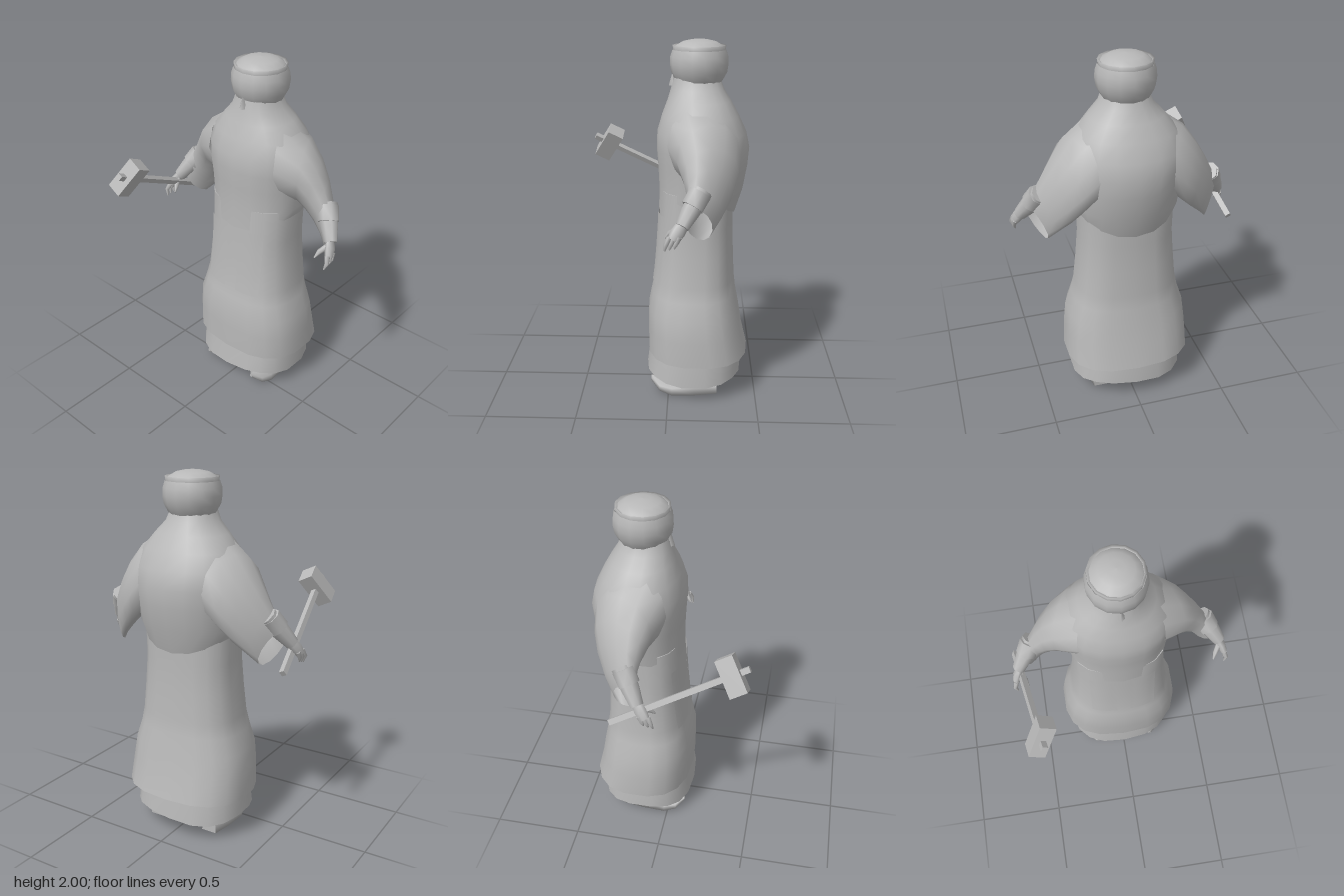
import * as THREE from 'three';

const cloth = new THREE.MeshStandardMaterial({ color: 0xb8b8b8, side: THREE.DoubleSide });
cloth.name = 'plain grey';

const V = (x, y, z) => new THREE.Vector3(x, y, z);

function mesh(name, geometry, parent) {
  const m = new THREE.Mesh(geometry, cloth);
  m.name = name;
  parent.add(m);
  return m;
}

// Skin a list of closed rings, optionally closing either end with a flat fan
function loft(rings, capStart = false, capEnd = false) {
  const n = rings[0].length, pos = [], idx = [];
  rings.forEach(r => r.forEach(p => pos.push(p.x, p.y, p.z)));
  for (let i = 0; i < rings.length - 1; i++) {
    for (let j = 0; j < n; j++) {
      const a = i * n + j, b = i * n + (j + 1) % n;
      idx.push(a, b, b + n, a, b + n, a + n);
    }
  }
  const cap = (ring, flip) => {
    const base = pos.length / 3, c = V(0, 0, 0);
    ring.forEach(p => { c.addScaledVector(p, 1 / n); pos.push(p.x, p.y, p.z); });
    pos.push(c.x, c.y, c.z);
    for (let j = 0; j < n; j++) {
      const a = base + j, b = base + (j + 1) % n;
      if (flip) idx.push(b, a, base + n); else idx.push(a, b, base + n);
    }
  };
  if (capStart) cap(rings[0], true);
  if (capEnd) cap(rings[rings.length - 1], false);
  const g = new THREE.BufferGeometry();
  g.setAttribute('position', new THREE.Float32BufferAttribute(pos, 3));
  g.setIndex(idx);
  g.computeVertexNormals();
  return g;
}

// Rounded horizontal ring from [y, half width, back z, front z]
const power = (v, e) => Math.sign(v) * Math.pow(Math.abs(v), e);
function bodyRing([y, hx, back, front], e, n = 18, lift = () => 0) {
  return Array.from({ length: n }, (_, j) => {
    const a = j / n * Math.PI * 2;
    return V(hx * power(Math.sin(a), e), y + lift(a),
      (back + front) / 2 + (front - back) / 2 * power(Math.cos(a), e));
  });
}

// Ring around a limb from a centre and two half axes
function limbRing(c, u, v, n = 10) {
  return Array.from({ length: n }, (_, j) => {
    const a = j / n * Math.PI * 2;
    return c.clone().addScaledVector(u, Math.sin(a)).addScaledVector(v, Math.cos(a));
  });
}

// Tapered limb through points with a radius at each
function limb(points, radii, n = 8, flat = 1) {
  const rings = points.map((p, i) => {
    const d = points[Math.min(i + 1, points.length - 1)].clone()
      .sub(points[Math.max(i - 1, 0)]).normalize();
    const u = V(1, 0, 0).addScaledVector(d, -d.x).normalize();
    const v = d.clone().cross(u);
    return limbRing(p, u.multiplyScalar(radii[i] * flat), v.multiplyScalar(radii[i]), n);
  });
  return loft(rings, true, true);
}

const SKIRT = [
  [0.24, 0.36, -0.455, 0.122], [0.38, 0.352, -0.42, 0.122], [0.5, 0.338, -0.4, 0.12],
  [0.6, 0.305, -0.38, 0.1], [0.68, 0.288, -0.37, 0.082], [0.84, 0.272, -0.362, 0.068],
  [1.0, 0.26, -0.355, 0.058], [1.2, 0.262, -0.36, 0.05],
];
const SKIRT_E = 0.78;

// Front surface of the skirt
function skirtFront(x, y) {
  let i = 0;
  while (i < SKIRT.length - 2 && SKIRT[i + 1][0] < y) i++;
  const A = SKIRT[i], B = SKIRT[i + 1], t = (y - A[0]) / (B[0] - A[0]);
  const [hx, back, front] = [1, 2, 3].map(k => A[k] + (B[k] - A[k]) * t);
  const q = Math.max(0, 1 - Math.pow(Math.abs(x) / hx, 2 / SKIRT_E));
  return (back + front) / 2 + (front - back) / 2 * Math.pow(q, SKIRT_E / 2);
}

function buildArm(side) {
  const arm = new THREE.Group();
  arm.name = side > 0 ? 'leftArm' : 'rightArm';

  // Wide hanging sleeve: top point, bottom point, half depth
  const sleeve = [
    [V(0.15, 1.69, -0.19), V(0.13, 1.24, -0.2), 0.2],
    [V(0.29, 1.595, -0.21), V(0.25, 1.24, -0.22), 0.17],
    [V(0.37, 1.49, -0.22), V(0.3, 1.19, -0.23), 0.145],
    [V(0.43, 1.395, -0.21), V(0.35, 1.14, -0.23), 0.12],
    [V(0.495, 1.28, -0.18), V(0.41, 1.08, -0.21), 0.09],
    [V(0.53, 1.215, -0.14), V(0.45, 1.03, -0.19), 0.065],
  ].map(([t, b, d]) => {
    const c = t.clone().add(b).multiplyScalar(0.5);
    return limbRing(c, t.clone().sub(c), V(d * 0.45, 0, d), 12);
  });
  mesh('sleeve', loft(sleeve), arm);

  // Cuff, forearm and palm
  mesh('cuff', limb([V(0.47, 1.285, -0.17), V(0.505, 1.22, -0.13)], [0.06, 0.058]), arm);
  mesh('forearm', limb([V(0.46, 1.29, -0.18), V(0.52, 1.2, -0.12), V(0.562, 1.135, -0.08)],
    [0.055, 0.048, 0.036]), arm);
  mesh('palm', limb([V(0.555, 1.145, -0.085), V(0.575, 1.11, -0.06), V(0.588, 1.075, -0.035)],
    [0.032, 0.037, 0.03], 8, 0.65), arm);

  // Curled fingers and thumb
  for (let k = 0; k < 3; k++) {
    const o = -0.024 * k;
    mesh('finger', limb([V(0.588, 1.09, -0.02 + o), V(0.6 - k * 0.003, 1.055, -0.002 + o),
      V(0.588, 1.018 + k * 0.006, 0.005 + o)], [0.015, 0.012, 0.004], 6), arm);
  }
  mesh('thumb', limb([V(0.56, 1.12, -0.055), V(0.535, 1.095, -0.02), V(0.523, 1.065, 0.005)],
    [0.018, 0.014, 0.004], 6), arm);
  arm.scale.x = side;
  return arm;
}

function buildHammer() {
  const hammer = new THREE.Group();
  hammer.name = 'hammer';
  const shaft = mesh('hammerHandle', new THREE.BoxGeometry(0.03, 0.79, 0.03), hammer);
  shaft.position.y = -0.3;
  mesh('hammerHead', new THREE.BoxGeometry(0.2, 0.095, 0.09), hammer);
  // Local y runs along the handle, local x along the head
  const y = V(0.11, 0.33, 0.635).normalize();
  const x = V(0.085, 0.16, -0.075);
  x.addScaledVector(y, -x.dot(y)).normalize();
  const z = x.clone().cross(y);
  hammer.quaternion.setFromRotationMatrix(new THREE.Matrix4().makeBasis(x, y, z));
  hammer.position.set(-0.478, 1.335, 0.385);
  return hammer;
}

export function createModel() {
  const model = new THREE.Group();
  model.name = 'robedFigure';

  // Robes
  const fold = a => 0.012 * Math.sin(a * 3);
  mesh('underRobe', loft([[0.105, 0.325, -0.42, 0.13], [0.26, 0.31, -0.4, 0.11]]
    .map((r, i) => bodyRing(r, 0.8, 18, i ? undefined : fold)), true, false), model);
  mesh('outerRobe', loft(SKIRT.map(r => bodyRing(r, SKIRT_E)), true, true), model);

  // Shawl with a drooping hem, rising into beard and neck
  const hem = a => 0.09 * Math.sin(a) ** 2;
  mesh('shawl', loft([
    [1.065, 0.268, -0.37, 0.06], [1.2, 0.278, -0.41, 0.058], [1.32, 0.288, -0.43, 0.064],
    [1.42, 0.3, -0.438, 0.072], [1.51, 0.302, -0.418, 0.068], [1.6, 0.268, -0.375, 0.042],
    [1.68, 0.2, -0.33, 0.012], [1.74, 0.142, -0.293, -0.006], [1.8, 0.118, -0.27, -0.02],
  ].map((r, i) => bodyRing(r, 0.92, 18, i ? undefined : hem))), model);

  // Paired front panels hugging the robe
  for (const side of [-1, 1]) {
    const g = new THREE.PlaneGeometry(0.148, 0.405, 5, 6);
    const p = g.attributes.position;
    for (let i = 0; i < p.count; i++) {
      const x = p.getX(i) + side * 0.114, y = p.getY(i) + 0.8625;
      p.setXYZ(i, x, y, skirtFront(x, y) + 0.008);
    }
    g.computeVertexNormals();
    mesh('frontPanel', g, model);
  }

  // Head wrap with a rim around a domed crown
  const wrap = [[0.1, 1.74], [0.128, 1.785], [0.15, 1.825], [0.157, 1.87], [0.155, 1.91],
    [0.143, 1.945]].map(p => new THREE.Vector2(...p));
  const band = [[0.138, 1.935], [0.143, 1.968], [0.128, 1.958]].map(p => new THREE.Vector2(...p));
  const crown = [[0.138, 1.945], [0.125, 1.967], [0.09, 1.987], [0.045, 1.997], [0, 2]]
    .map(p => new THREE.Vector2(...p));
  for (const [name, pts] of [['headWrap', wrap], ['headBand', band], ['crown', crown]]) {
    mesh(name, new THREE.LatheGeometry(pts, 14), model).position.z = -0.157;
  }

  // Nose
  const nose = mesh('nose', new THREE.ConeGeometry(0.024, 0.085, 4), model);
  nose.position.set(0, 1.796, -0.018);

  // Curled shoes: z, half width, bottom, top
  for (const side of [-1, 1]) {
    const rings = [[-0.28, 0.045, 0.008, 0.11], [-0.15, 0.058, 0, 0.12], [-0.02, 0.064, 0, 0.09],
      [0.05, 0.05, 0.022, 0.088], [0.1, 0.008, 0.07, 0.098]].map(([z, w, b, t]) =>
      [[-w, b], [w, b], [w * 0.95, b + (t - b) * 0.45], [0, t], [-w * 0.95, b + (t - b) * 0.45]]
        .map(([x, y]) => V(x + side * 0.176, y, z)));
    mesh('shoe', loft(rings, true, true), model);
    model.add(buildArm(side));
  }
  model.add(buildHammer());
  return model;
}
